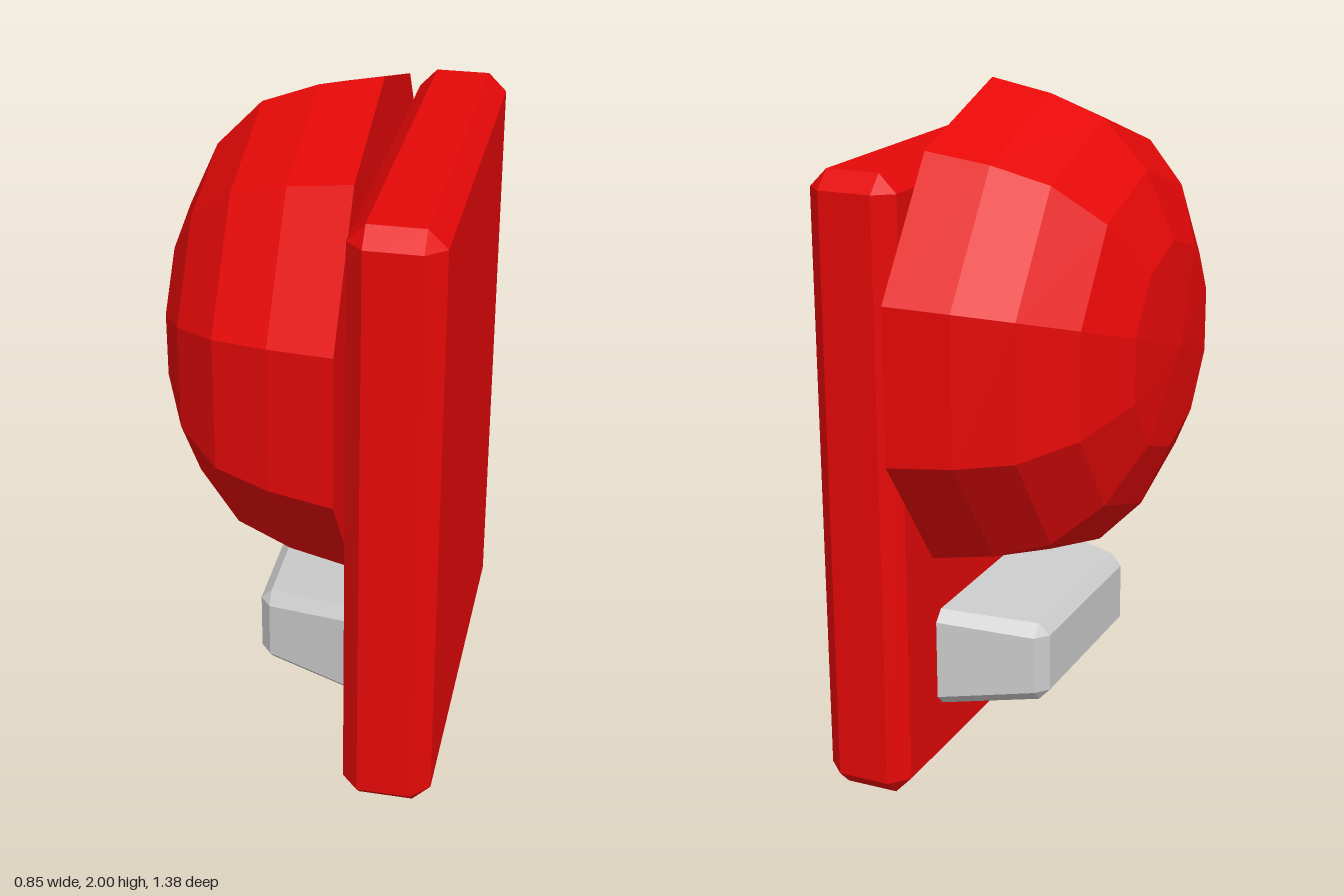
import * as THREE from 'three';

const red = new THREE.MeshStandardMaterial({ color: 0xe60808, flatShading: true });
const grey = new THREE.MeshStandardMaterial({ color: 0xcccccc, flatShading: true });

// Chamfered rectangle in the zy plane, counter-clockwise seen from +x
function ring({ x, h, w, c }, cy) {
  return [
    [-w, h - c], [-w + c, h], [w - c, h], [w, h - c],
    [w, -h + c], [w - c, -h], [-w + c, -h], [-w, -h + c],
  ].map(([z, y]) => new THREE.Vector3(x, cy + y, z));
}

// Solid through chamfered sections ordered by rising x, capped at both ends
function loft(sections, cy) {
  const rings = sections.map((s) => ring(s, cy));
  const pos = [];
  const tri = (a, b, c) => {
    const area = b.clone().sub(a).cross(c.clone().sub(a)).length();
    if (area > 1e-8) for (const p of [a, b, c]) pos.push(p.x, p.y, p.z);
  };
  for (let k = 0; k < rings.length - 1; k++) {
    const a = rings[k], b = rings[k + 1];
    for (let i = 0; i < 8; i++) {
      const j = (i + 1) % 8;
      tri(a[i], a[j], b[i]);
      tri(a[j], b[j], b[i]);
    }
  }
  const first = rings[0], last = rings[rings.length - 1];
  for (let i = 1; i < 7; i++) {
    tri(first[0], first[i + 1], first[i]);
    tri(last[0], last[i], last[i + 1]);
  }
  const geo = new THREE.BufferGeometry();
  geo.setAttribute('position', new THREE.Float32BufferAttribute(pos, 3));
  geo.computeVertexNormals();
  return geo;
}

export function createModel() {
  const group = new THREE.Group();
  const add = (name, geo, mat) => {
    const mesh = new THREE.Mesh(geo, mat);
    mesh.name = name;
    group.add(mesh);
    return mesh;
  };

  // Upright slab with all edges chamfered
  add('panel', loft([
    { x: 0.165, h: 0.86, w: 0.575, c: 0 },
    { x: 0.215, h: 0.9125, w: 0.627, c: 0.05 },
    { x: 0.372, h: 0.9125, w: 0.627, c: 0.05 },
    { x: 0.425, h: 0.86, w: 0.575, c: 0 },
  ], 0.9125), red);

  // Tapered block below the dome, widest at the panel
  add('bracket', loft([
    { x: -0.145, h: 0.0875, w: 0.28, c: 0 },
    { x: -0.112, h: 0.122, w: 0.32, c: 0.035 },
    { x: 0.17, h: 0.153, w: 0.4, c: 0.032 },
  ], 0.3525), grey);

  // Ten-sided dome turned on its side, flat against the panel
  const profile = [
    [0, -0.157], [0.725, -0.157], [0.69, 0.025], [0.63, 0.185],
    [0.495, 0.315], [0.305, 0.4], [0, 0.428],
  ].map(([r, y]) => new THREE.Vector2(r, y));
  const dome = add('dome', new THREE.LatheGeometry(profile, 10, Math.PI / 2), red);
  dome.rotation.z = Math.PI / 2;
  dome.position.y = 1.275;

  return group;
}
